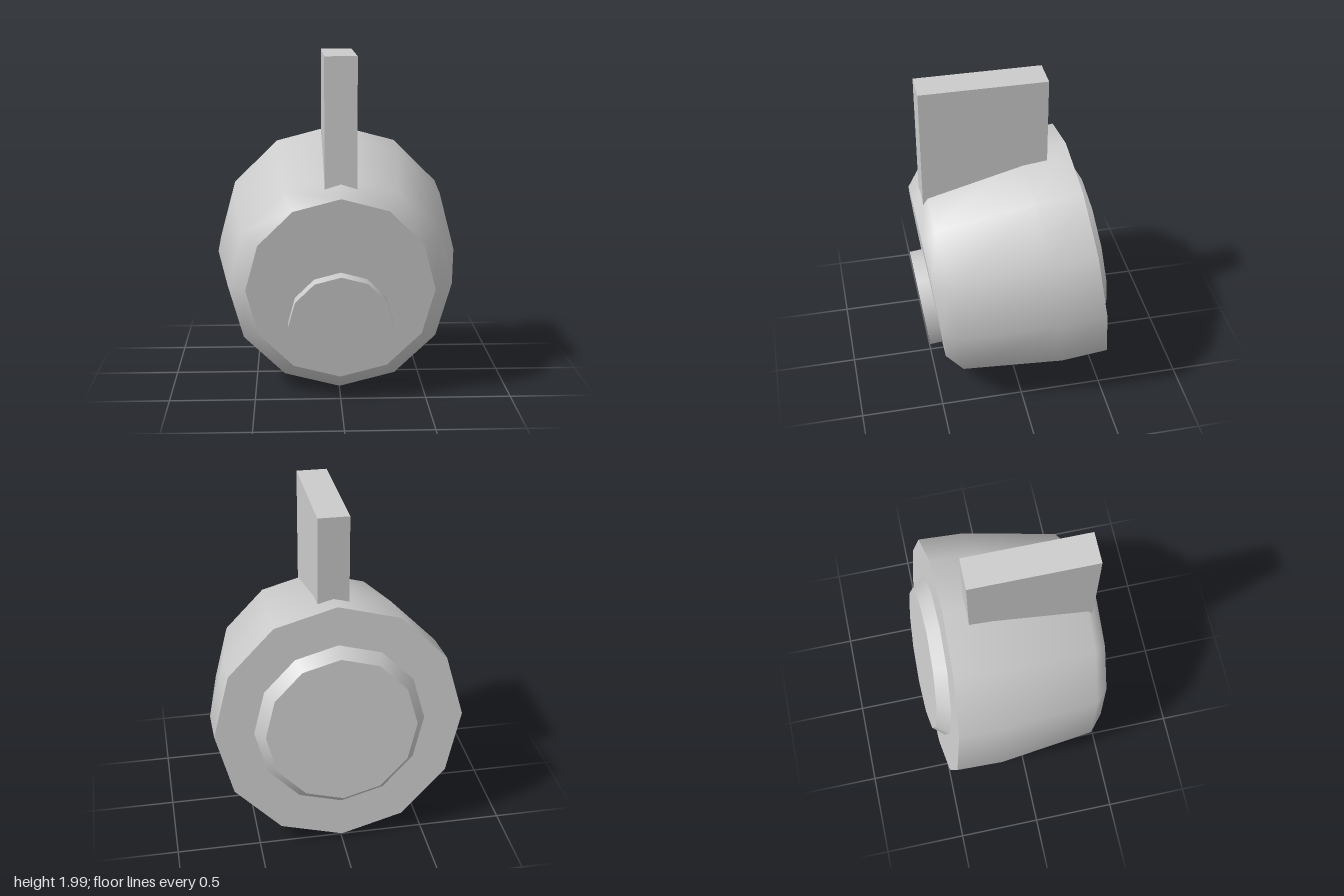
import * as THREE from 'three';
import { mergeGeometries } from 'three/addons/utils/BufferGeometryUtils.js';

const SIDES = 12;
const TILT = 0.119; // the barrel's nose dips forward by this angle

const material = new THREE.MeshStandardMaterial({ color: 0xcccccc });

const lathe = (points) =>
  new THREE.LatheGeometry(points.map(([r, s]) => new THREE.Vector2(r, s)), SIDES);

// Smooth turned side with sharp, flat caps; profile is [radius, distance along axis], back to front
function turned(name, profile) {
  const [r0, s0] = profile[0];
  const [r1, s1] = profile[profile.length - 1];
  const geometry = mergeGeometries([
    lathe(profile),
    lathe([[0, s0], [r0, s0]]),
    lathe([[r1, s1], [0, s1]]),
  ]);
  geometry.rotateX(Math.PI / 2); // axis now runs along +z
  const mesh = new THREE.Mesh(geometry, material);
  mesh.name = name;
  return mesh;
}

export function createModel() {
  const model = new THREE.Group();
  model.name = 'model';

  // Tilted barrel assembly, origin at the centre of its back face
  const barrel = new THREE.Group();
  barrel.name = 'barrel';
  barrel.position.set(0, 0.775, -0.4525);
  barrel.rotation.x = TILT;
  model.add(barrel);

  // Main body: straight rear, tapering front, bevelled nose
  barrel.add(turned('body', [[0.741, 0], [0.741, 0.28], [0.654, 0.865], [0.549, 0.954]]));

  // Bevelled boss on the back
  barrel.add(turned('backBoss', [[0.45, -0.076], [0.51, 0.002]]));

  // Small off-centre disc low on the front face
  const disc = turned('frontDisc', [[0.305, 0.94], [0.305, 1.033]]);
  disc.position.y = -0.197;
  barrel.add(disc);

  // Upright plate sunk into the top of the body
  const plate = new THREE.Mesh(new THREE.BoxGeometry(0.186, 0.8, 0.74), material);
  plate.name = 'topPlate';
  plate.position.set(0, 1.6, 0.14);
  model.add(plate);

  return model;
}
